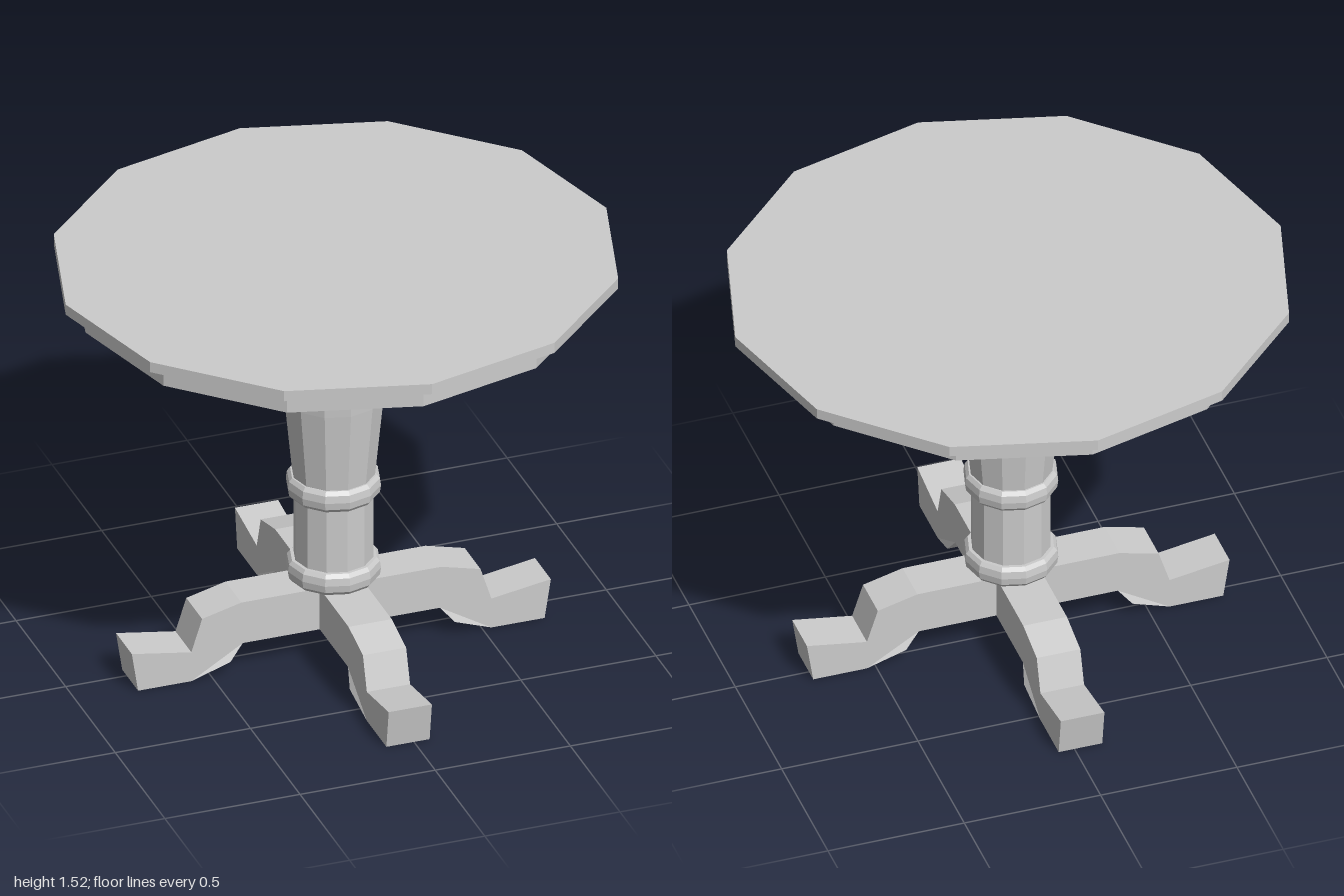
import * as THREE from 'three';

const material = new THREE.MeshStandardMaterial({ color: 0xcccccc, flatShading: true });
const SIDES = 12;

function addMesh(parent, name, geometry, x = 0, y = 0, z = 0) {
  const mesh = new THREE.Mesh(geometry, material);
  mesh.name = name;
  mesh.position.set(x, y, z);
  parent.add(mesh);
  return mesh;
}

// Twelve-sided disc, vertices on the axes, with separate x and z radii
function disc(rx, rz, height) {
  return new THREE.CylinderGeometry(1, 1, height, SIDES).scale(rx, 1, rz);
}

function lathe(points) {
  return new THREE.LatheGeometry(points.map(([r, y]) => new THREE.Vector2(r, y)), SIDES);
}

// Leg outline in x (outwards) and y, extruded across its width
function legGeometry() {
  const outline = [
    [0.08, 0.115], [0.365, 0.115], [0.415, 0.055], [0.555, 0], [0.752, 0],
    [0.775, 0.15], [0.555, 0.115], [0.515, 0.24], [0.37, 0.277], [0.08, 0.277],
  ];
  const shape = new THREE.Shape(outline.map(([x, y]) => new THREE.Vector2(x, y)));
  const width = 0.16;
  const geometry = new THREE.ExtrudeGeometry(shape, { depth: width, bevelEnabled: false });
  geometry.translate(0, 0, -width / 2);
  // The knee under the leg swells a little sideways
  const pos = geometry.attributes.position;
  for (let i = 0; i < pos.count; i++) {
    const y = pos.getY(i);
    if (y > 0.03 && y < 0.1) pos.setZ(i, pos.getZ(i) * 1.15);
  }
  geometry.computeVertexNormals();
  return geometry;
}

export function createModel() {
  const table = new THREE.Group();
  table.name = 'pedestalTable';

  // Table top and the apron beneath it
  addMesh(table, 'tableTop', disc(1, 0.97, 0.04), 0, 1.5, 0);
  addMesh(table, 'apron', disc(0.922, 0.898, 0.08), -0.008, 1.44, 0.008);

  // Pedestal stands slightly off the centre of the top
  const pedestal = new THREE.Group();
  pedestal.name = 'pedestal';
  pedestal.position.set(-0.022, 0, 0.034);
  table.add(pedestal);

  // Turned column
  addMesh(pedestal, 'column', lathe([
    [0.141, 0.277], [0.141, 0.66], [0.147, 0.69], [0.177, 0.995], [0.182, 1.085],
    [0.178, 1.16], [0.168, 1.215], [0.155, 1.243], [0.141, 1.245], [0.141, 1.41],
  ]));

  // Rounded collars
  for (const [name, y] of [['upperCollar', 0.648], ['lowerCollar', 0.319]]) {
    addMesh(pedestal, name, lathe([
      [0.13, -0.041], [0.153, -0.041], [0.164, -0.027], [0.168, 0],
      [0.164, 0.027], [0.153, 0.041], [0.13, 0.041],
    ]), 0, y, 0);
  }

  // Four legs meeting at a square hub
  addMesh(pedestal, 'hub', new THREE.BoxGeometry(0.16, 0.162, 0.16), 0, 0.196, 0);
  const leg = legGeometry();
  for (let i = 0; i < 4; i++) {
    addMesh(pedestal, 'leg' + (i + 1), leg).rotation.y = (i * Math.PI) / 2;
  }

  return table;
}
